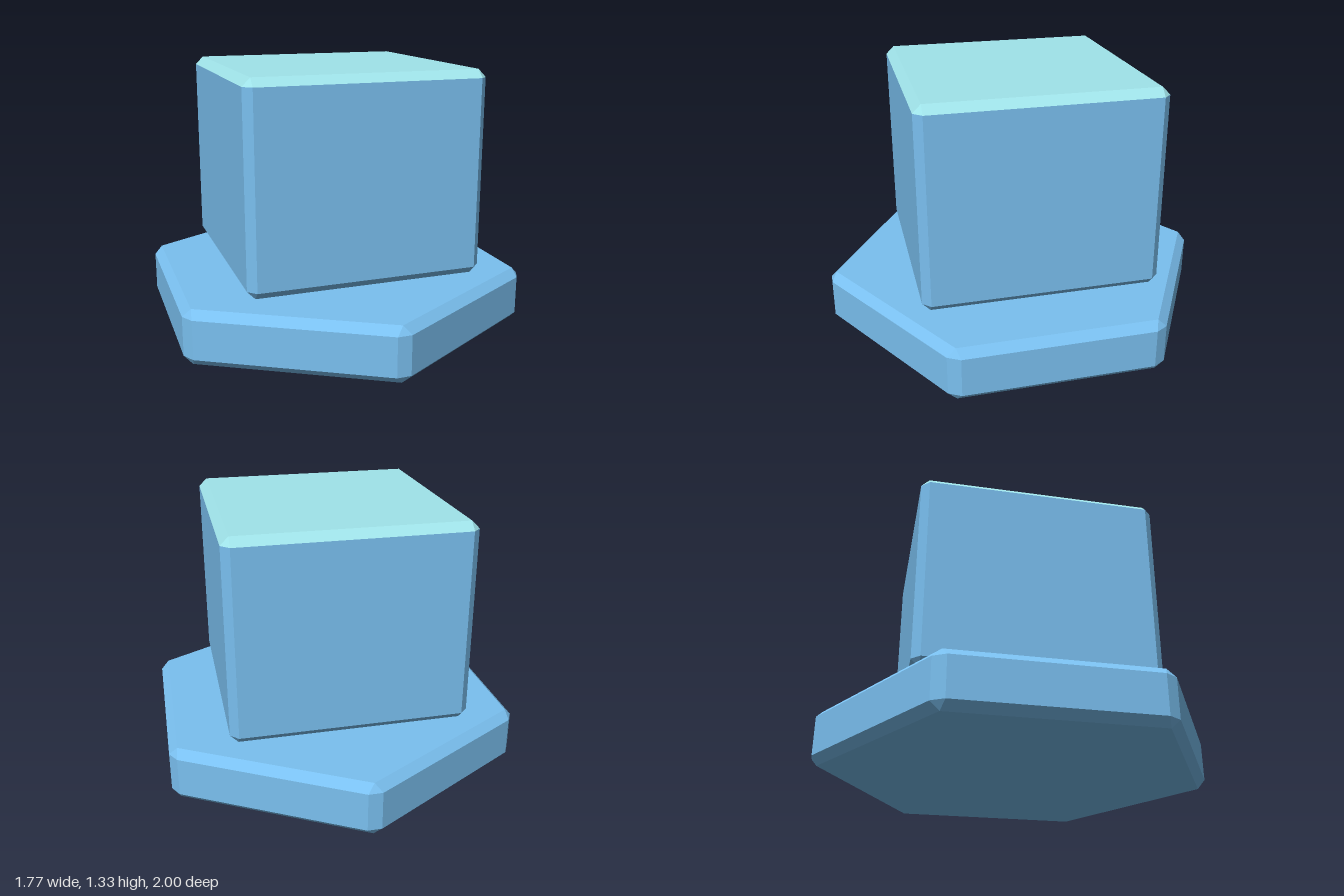
import * as THREE from 'three';
import { ConvexGeometry } from 'three/addons/geometries/ConvexGeometry.js';

const BEVEL = 0.04;

// Regular prism with every edge chamfered; apothem is the distance to each wall.
function bevelledPrism(sides, apothem, bottom, top) {
  const points = [];
  const half = apothem * Math.tan(Math.PI / sides) - BEVEL;
  const tipRadius = (apothem - BEVEL) / Math.cos(Math.PI / sides);
  for (let i = 0; i < sides; i++) {
    const a = (i * 2 * Math.PI) / sides;
    const c = Math.cos(a), s = Math.sin(a);
    // wall corners
    for (const y of [bottom + BEVEL, top - BEVEL]) {
      for (const t of [-half, half]) {
        points.push(new THREE.Vector3(apothem * c - t * s, y, apothem * s + t * c));
      }
    }
    // corners of the end faces
    const b = a + Math.PI / sides;
    for (const y of [bottom, top]) {
      points.push(new THREE.Vector3(tipRadius * Math.cos(b), y, tipRadius * Math.sin(b)));
    }
  }
  return new ConvexGeometry(points);
}

// Keeps the triangles whose highest corner passes the test.
function keepTriangles(geometry, test) {
  const src = geometry.attributes.position.array;
  const kept = [];
  for (let i = 0; i < src.length; i += 9) {
    if (test(Math.max(src[i + 1], src[i + 4], src[i + 7]))) kept.push(...src.slice(i, i + 9));
  }
  const out = new THREE.BufferGeometry();
  out.setAttribute('position', new THREE.Float32BufferAttribute(kept, 3));
  out.computeVertexNormals();
  return out;
}

export function createModel() {
  const model = new THREE.Group();
  const blue = new THREE.MeshStandardMaterial({ color: 0x7ac0f0, flatShading: true });
  const teal = new THREE.MeshStandardMaterial({ color: 0xa0e4ea, flatShading: true });

  const add = (name, geometry, material) => {
    const mesh = new THREE.Mesh(geometry, material);
    mesh.name = name;
    model.add(mesh);
  };

  // Hexagonal plate on the ground
  add('hexBase', bevelledPrism(6, 0.884, 0, 0.275), blue);

  // Small block showing under the cube
  add('innerBlock', bevelledPrism(4, 0.25, 0.29, 0.79), blue);

  // Cube, with its top face and top chamfers in a lighter colour
  const cube = bevelledPrism(4, 0.595, 0.31, 1.33);
  const capLine = 1.31;
  add('cubeBody', keepTriangles(cube, (y) => y < capLine), blue);
  add('cubeTop', keepTriangles(cube, (y) => y > capLine), teal);

  return model;
}
